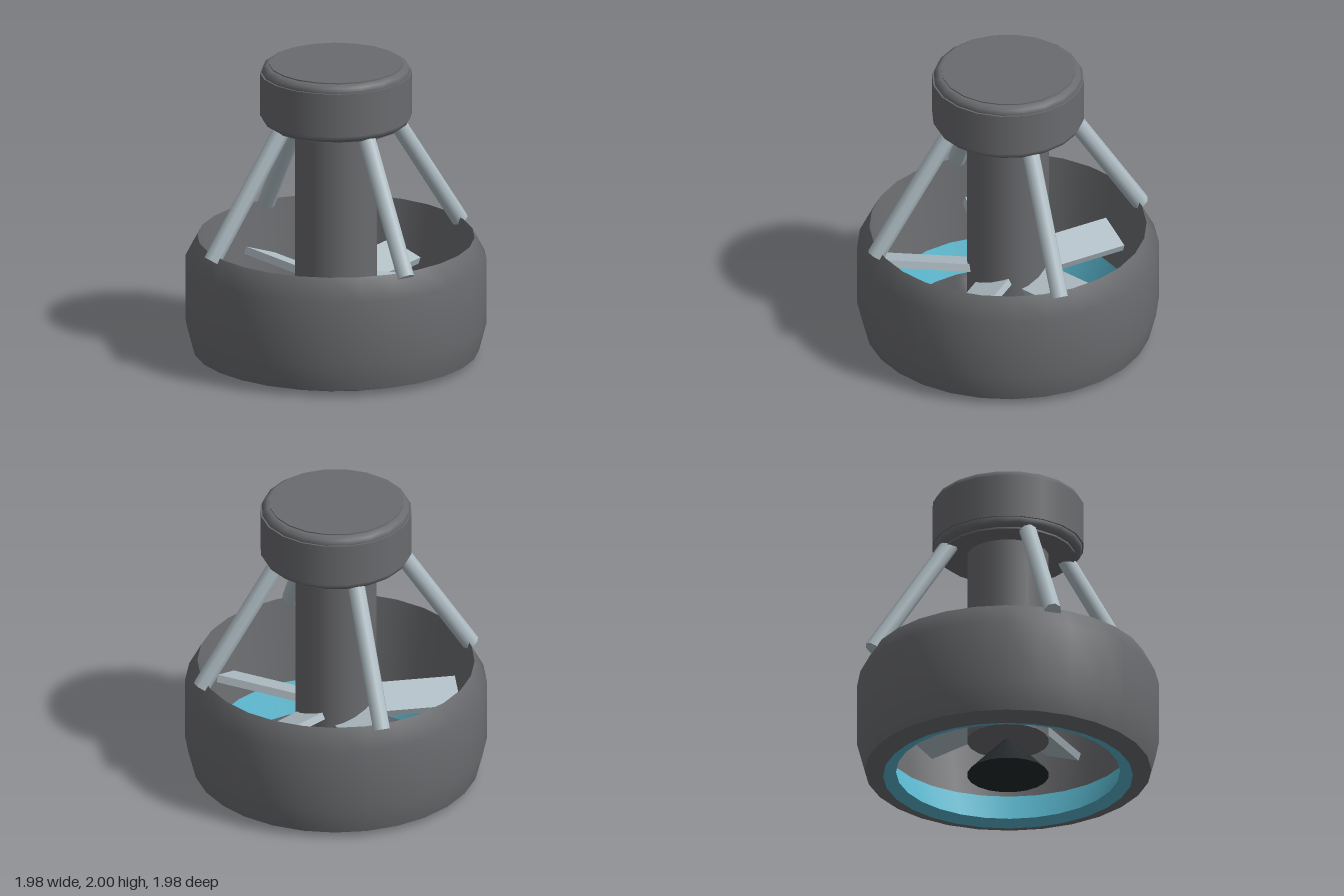
import * as THREE from 'three';

export function createModel() {
  const model = new THREE.Group();
  const mat = (name, color) => {
    const m = new THREE.MeshStandardMaterial({ color });
    m.name = name;
    return m;
  };
  const grey = mat('dark grey', 0x6a6b6e);
  const steel = mat('pale steel', 0xb0bec5);
  const teal = mat('teal', 0x58b4cb);
  const black = mat('near black', 0x24292b);

  const add = (name, geometry, material, parent = model) => {
    const mesh = new THREE.Mesh(geometry, material);
    mesh.name = name;
    parent.add(mesh);
    return mesh;
  };
  // Each strip is its own smooth lathe, so edges between strips stay sharp
  const lathe = (name, points, material, sides = 28) =>
    add(name, new THREE.LatheGeometry(points.map(p => new THREE.Vector2(...p)), sides), material);
  const drum = (name, radius, y0, y1, material, sides = 20) => {
    const mesh = add(name, new THREE.CylinderGeometry(radius, radius, y1 - y0, sides), material);
    mesh.position.y = (y0 + y1) / 2;
    return mesh;
  };

  // Ring-shaped duct
  lathe('ductOuterWall', [[0.94, 0.04], [0.99, 0.23], [0.99, 0.66], [0.91, 0.81]], grey);
  lathe('ductBottomBevel', [[0.82, 0], [0.94, 0.04]], grey);
  lathe('ductInnerWall', [[0.91, 0.81], [0.82, 0.23]], grey);
  lathe('throatRing', [[0.82, 0.23], [0.735, 0.03]], teal);
  lathe('throatLip', [[0.735, 0.03], [0.82, 0]], teal);

  // Central shaft with the tail cone below
  drum('shaft', 0.27, 0.25, 1.6, grey);
  const cone = add('tailCone', new THREE.ConeGeometry(0.27, 0.28, 20), black);
  cone.position.y = 0.145;

  // Motor head with rounded rims
  drum('motorHead', 0.5, 1.65, 1.94, grey);
  drum('motorHeadCore', 0.44, 1.585, 2.0, grey);
  for (const y of [1.645, 1.945]) {
    const rim = add('motorRim', new THREE.TorusGeometry(0.44, 0.05, 10, 20), grey);
    rim.rotation.x = Math.PI / 2;
    rim.position.y = y;
  }

  // Five pitched propeller blades
  for (let i = 0; i < 5; i++) {
    const arm = new THREE.Group();
    arm.name = 'bladeArm';
    arm.rotation.y = (i * Math.PI * 2) / 5;
    const blade = add('blade', new THREE.BoxGeometry(0.61, 0.05, 0.255), steel, arm);
    blade.position.set(0.505, 0.49, 0);
    blade.rotation.x = 0.35;
    model.add(arm);
  }

  // Four struts from the duct rim up to the motor head
  const up = new THREE.Vector3(0, 1, 0);
  for (const sx of [-1, 1]) for (const sz of [-1, 1]) {
    const foot = new THREE.Vector3(0.66 * sx, 0.78, 0.66 * sz);
    const top = new THREE.Vector3(0.275 * sx, 1.63, 0.275 * sz);
    const dir = top.clone().sub(foot);
    const strut = add('strut', new THREE.CylinderGeometry(0.058, 0.058, dir.length(), 8), steel);
    strut.position.copy(foot).add(top).multiplyScalar(0.5);
    strut.quaternion.setFromUnitVectors(up, dir.normalize());
  }
  return model;
}
